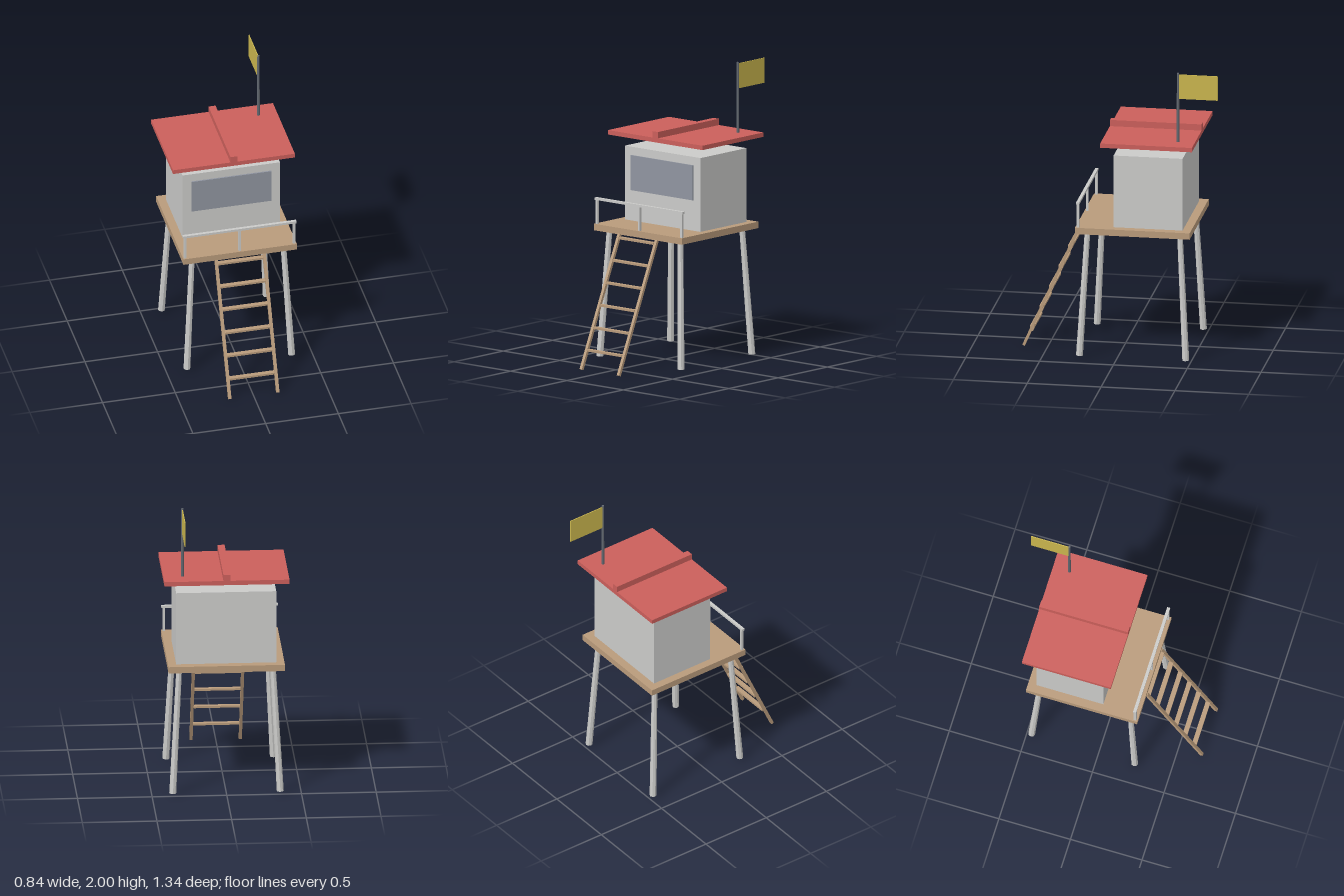
import * as THREE from 'three';

export function createModel() {
  const group = new THREE.Group();
  const paint = (name, color, flatShading = false) => {
    const m = new THREE.MeshStandardMaterial({ color, flatShading });
    m.name = name;
    return m;
  };
  const white = paint('white paint', 0xcbcbc9, true);
  const wood = paint('wood', 0xb99b7b);
  const red = paint('roof red', 0xcb5f5b);
  const glass = paint('window glass', 0x9095a0);
  const steel = paint('dark steel', 0x626870);
  const yellow = paint('flag yellow', 0xcab64e);

  const add = (name, geometry, material, x, y, z) => {
    const mesh = new THREE.Mesh(geometry, material);
    mesh.name = name;
    mesh.position.set(x, y, z);
    group.add(mesh);
    return mesh;
  };
  // Box given by its min and max on each axis
  const box = (name, material, [x0, x1], [y0, y1], [z0, z1]) =>
    add(name, new THREE.BoxGeometry(x1 - x0, y1 - y0, z1 - z0), material,
      (x0 + x1) / 2, (y0 + y1) / 2, (z0 + z1) / 2);
  // Turn a mesh modelled along y so that it runs from a to b
  const align = (mesh, a, b) => {
    mesh.position.copy(a).lerp(b, 0.5);
    mesh.quaternion.setFromUnitVectors(new THREE.Vector3(0, 1, 0), b.clone().sub(a).normalize());
  };

  // Platform, cabin and front window
  box('platform', wood, [-0.39, 0.39], [0.868, 0.912], [-0.498, 0.279]);
  box('cabin', white, [-0.335, 0.335], [0.912, 1.414], [-0.441, 0.026]);
  box('window', glass, [-0.275, 0.275], [1.12, 1.358], [0.027, 0.0365]);

  // Raised roof slab with a ridge beam
  box('roof', red, [-0.419, 0.419], [1.49, 1.52], [-0.518, 0.103]);
  box('roofRidge', red, [-0.024, 0.024], [1.52, 1.563], [-0.518, 0.103]);

  // Splayed, tapering legs
  for (const s of [-1, 1]) {
    for (const [zFoot, zTop] of [[0.253, 0.206], [-0.467, -0.42]]) {
      const foot = new THREE.Vector3(s * 0.36, 0.012, zFoot);
      const top = new THREE.Vector3(s * 0.314, 0.872, zTop);
      const leg = add('leg', new THREE.CylinderGeometry(0.019, 0.0235, foot.distanceTo(top), 8), white, 0, 0, 0);
      align(leg, foot, top);
    }
  }

  // Front railing
  box('handrail', white, [-0.39, 0.39], [1.074, 1.09], [0.25, 0.271]);
  for (const x of [-0.374, 0, 0.374]) {
    box('railPost', white, [x - 0.008, x + 0.008], [0.912, 1.076], [0.252, 0.269]);
  }

  // Ladder: sloping stringers with level rungs
  const low = { y: 0.004, z: 0.663 }, high = { y: 0.87, z: 0.276 };
  for (const s of [-1, 1]) {
    const a = new THREE.Vector3(s * 0.165, low.y, low.z);
    const b = new THREE.Vector3(s * 0.165, high.y, high.z);
    align(add('ladderStringer', new THREE.BoxGeometry(0.021, a.distanceTo(b), 0.019), wood, 0, 0, 0), a, b);
  }
  for (let i = 0; i < 6; i++) {
    const y = 0.13 + i * 0.1435;
    const z = low.z + (high.z - low.z) * (y - low.y) / (high.y - low.y);
    add('ladderRung', new THREE.BoxGeometry(0.31, 0.014, 0.032), wood, 0, y, z);
  }

  // Flag flying backwards from its pole
  add('flagPole', new THREE.CylinderGeometry(0.008, 0.01, 0.48, 8), steel, 0.291, 1.76, -0.403);
  box('flag', yellow, [0.288, 0.294], [1.82, 1.99], [-0.672, -0.405]);

  return group;
}
